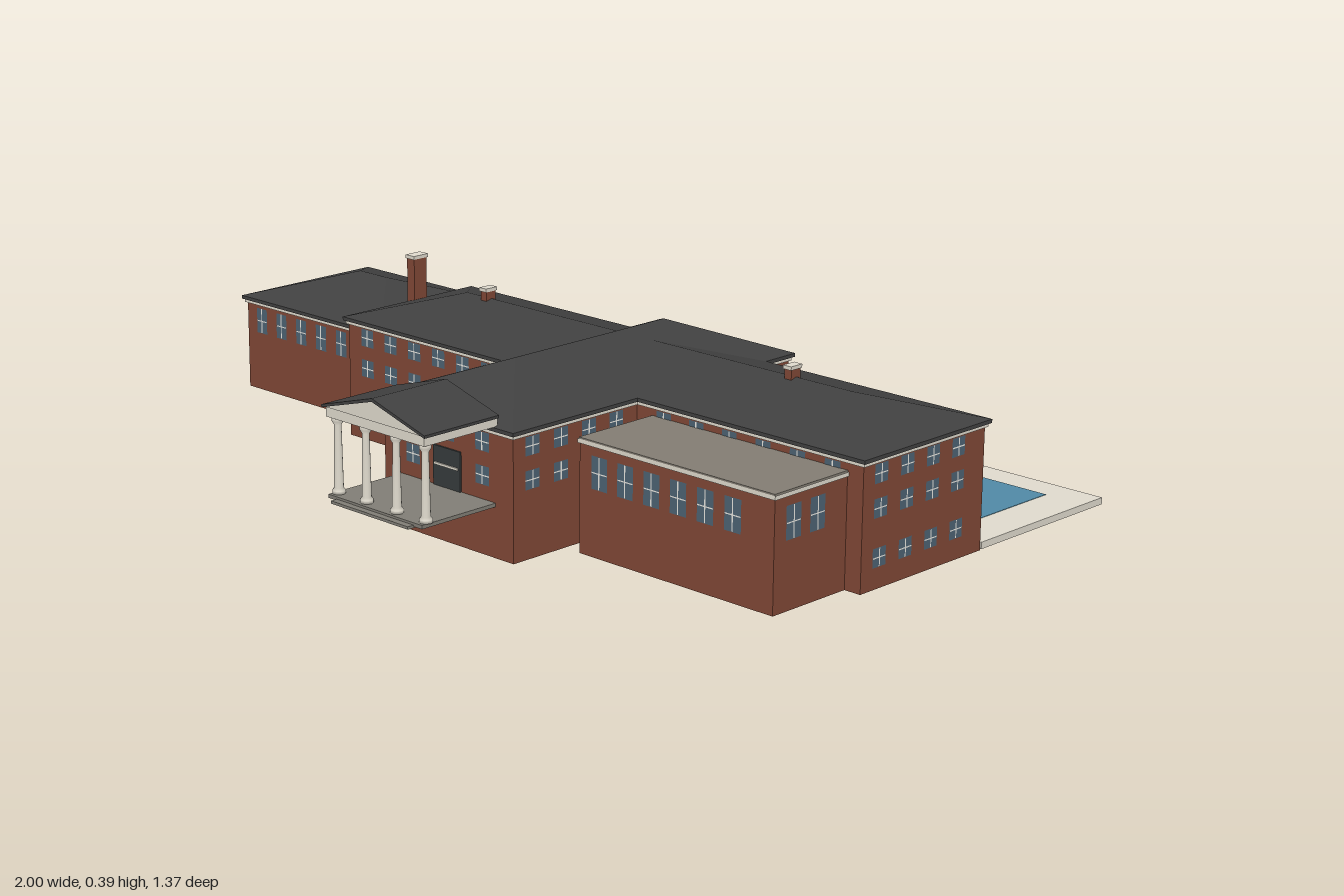
import * as THREE from 'three';
import { mergeGeometries } from 'three/addons/utils/BufferGeometryUtils.js';
import { ConvexGeometry } from 'three/addons/geometries/ConvexGeometry.js';

const mat = (name, color, side = THREE.FrontSide) => {
  const m = new THREE.MeshStandardMaterial({ color, side });
  m.name = name;
  return m;
};

export function createModel() {
  const brick = mat('brick', 0x7f4735, THREE.DoubleSide);
  const slate = mat('slate', 0x404040);
  const trim = mat('cream trim', 0xded9cc, THREE.DoubleSide);
  const glass = mat('window glass', 0x4c6272);
  const muntin = mat('white muntin', 0xe6e4de);
  const water = mat('pool water', 0x5089a5);
  const gravel = mat('flat roof gravel', 0x827c72);
  const paving = mat('porch paving', 0x807d75);
  const door = mat('dark door', 0x363b3c);

  const house = new THREE.Group();
  house.name = 'house';
  const add = (name, geo, material) => {
    const m = new THREE.Mesh(geo, material);
    m.name = name;
    house.add(m);
    return m;
  };
  // box given by its limits on each axis
  const boxGeo = (x0, x1, y0, y1, z0, z1) =>
    new THREE.BoxGeometry(x1 - x0, y1 - y0, z1 - z0)
      .translate((x0 + x1) / 2, (y0 + y1) / 2, (z0 + z1) / 2);
  const box = (name, material, ...b) => add(name, boxGeo(...b), material);
  // four walls, open at the top and bottom
  const shell = (name, material, ...b) => {
    const geo = boxGeo(...b);
    const index = Array.from(geo.index.array);
    geo.setIndex([...index.slice(0, 12), ...index.slice(24)]);
    geo.clearGroups();
    add(name, geo, material);
  };

  // hipped roof with a thin eave; the ridge follows the longer side
  const hip = (name, x0, x1, z0, z1, y, top) => {
    const pts = [];
    for (const x of [x0, x1]) for (const z of [z0, z1])
      pts.push(new THREE.Vector3(x, y, z), new THREE.Vector3(x, y + 0.008, z));
    const w = x1 - x0, d = z1 - z0, h = Math.min(w, d) / 2;
    const cx = (x0 + x1) / 2, cz = (z0 + z1) / 2;
    const rx = w / 2 - h, rz = d / 2 - h;
    pts.push(new THREE.Vector3(cx - rx, top, cz - rz), new THREE.Vector3(cx + rx, top, cz + rz));
    add(name, new ConvexGeometry(pts), slate);
  };

  // brick block with cornice and hipped roof
  const wing = (name, x0, x1, z0, z1, eave, top) => {
    shell(name + 'Walls', brick, x0, x1, 0, eave, z0, z1);
    shell(name + 'Cornice', trim, x0 - 0.005, x1 + 0.005, eave - 0.008, eave, z0 - 0.005, z1 + 0.005);
    hip(name + 'Roof', x0 - 0.01, x1 + 0.01, z0 - 0.01, z1 + 0.01, eave, top);
  };
  wing('westWing', -0.99, -0.515, -0.36, 0.021, 0.216, 0.285);
  wing('mainBlock', -0.515, 0.987, -0.263, 0.115, 0.27, 0.335);
  wing('crossBlock', 0.002, 0.384, -0.357, 0.47, 0.27, 0.355);

  // rows of windows on one wall; dir is the outward side of the wall
  const windows = (name, dir, wall, along, rows, w = 0.04, h = 0.04) => {
    const panes = [], bars = [];
    const turn = { front: 0, back: Math.PI, left: Math.PI / 2, right: -Math.PI / 2 }[dir];
    const side = dir === 'left' || dir === 'right';
    for (const a of along) for (const y of rows) {
      const plate = (pw, ph, out) => new THREE.PlaneGeometry(pw, ph).translate(0, 0, out)
        .rotateY(turn).translate(side ? wall : a, y, side ? a : wall);
      panes.push(plate(w, h, 0.0015));
      bars.push(plate(0.003, h, 0.0025), plate(w, 0.0025, 0.0025));
    }
    add(name + 'Panes', mergeGeometries(panes), glass);
    add(name + 'Muntins', mergeGeometries(bars), muntin);
  };
  const span = (a, b, n) => Array.from({ length: n }, (_, i) => a + (b - a) * i / (n - 1));
  const upper = [0.239, 0.168], all = [0.239, 0.168, 0.066];
  const westX = span(-0.937, -0.58, 6), mainWestX = span(-0.452, -0.062, 6);
  windows('westWingFront', 'front', 0.021, westX, [0.17], 0.036, 0.06);
  windows('westWingBack', 'back', -0.36, westX, [0.17], 0.036, 0.06);
  windows('westWingEnd', 'right', -0.99, span(-0.3, -0.04, 4), [0.17], 0.036, 0.06);
  windows('mainFrontWest', 'front', 0.115, mainWestX, upper);
  windows('mainBackWest', 'back', -0.263, mainWestX, upper);
  windows('mainFrontEast', 'front', 0.115, span(0.46, 0.91, 6), [0.239]);
  windows('mainBackEast', 'back', -0.263, span(0.46, 0.91, 6), all);
  windows('mainEastEnd', 'left', 0.987, span(0.062, -0.178, 4), all);
  const crossZ = span(0.178, 0.418, 4);
  windows('crossEast', 'left', 0.384, crossZ, upper);
  windows('crossWest', 'right', 0.002, crossZ, upper);
  windows('crossFrontUpper', 'front', 0.47, [0.09, 0.193, 0.296], [0.239]);
  windows('crossFrontLower', 'front', 0.47, [0.09, 0.296], [0.168]);
  windows('crossBack', 'back', -0.357, [0.085, 0.193, 0.3], upper);

  // flat-roofed front annex
  shell('annexWalls', brick, 0.428, 0.947, 0, 0.237, 0.115, 0.327);
  shell('annexCornice', trim, 0.425, 0.95, 0.234, 0.243, 0.115, 0.33);
  box('annexRoof', gravel, 0.427, 0.948, 0.24, 0.246, 0.115, 0.329);
  windows('annexFront', 'front', 0.327, span(0.484, 0.842, 6), [0.18], 0.043, 0.07);
  windows('annexEast', 'left', 0.947, [0.273, 0.203], [0.18], 0.043, 0.07);

  // rear terrace with balustrade
  shell('terraceWalls', brick, -0.042, 0.427, 0, 0.118, -0.518, -0.357);
  box('terraceFloor', trim, -0.045, 0.43, 0.118, 0.125, -0.522, -0.357);
  windows('terraceBack', 'back', -0.518, span(0.02, 0.365, 5), [0.066]);
  windows('terraceEast', 'left', 0.427, [-0.41], [0.066]);
  windows('terraceWest', 'right', -0.042, [-0.41], [0.066]);
  const rail = [
    boxGeo(-0.043, 0.428, 0.139, 0.143, -0.52, -0.514),
    boxGeo(-0.043, -0.037, 0.139, 0.143, -0.52, -0.36),
    boxGeo(0.422, 0.428, 0.139, 0.143, -0.52, -0.36),
  ];
  const baluster = (x, z) => rail.push(boxGeo(x - 0.002, x + 0.002, 0.125, 0.139, z - 0.002, z + 0.002));
  for (const x of span(-0.04, 0.425, 34)) baluster(x, -0.517);
  for (const z of span(-0.503, -0.364, 11)) { baluster(-0.04, z); baluster(0.425, z); }
  add('terraceBalustrade', mergeGeometries(rail), trim);
  for (const x of span(0.03, 0.355, 4))
    box('rearPilaster', trim, x - 0.008, x + 0.008, 0.125, 0.264, -0.361, -0.355);

  // pool
  box('poolDeck', trim, 0.475, 0.985, 0, 0.015, -0.685, -0.27);
  box('poolWater', water, 0.57, 0.89, 0.012, 0.016, -0.615, -0.36);

  // chimneys
  const chimney = (x, z, wx, wz, y0, y1) => {
    box('chimneyStack', brick, x - wx, x + wx, y0, y1 - 0.008, z - wz, z + wz);
    box('chimneyCap', trim, x - wx - 0.002, x + wx + 0.002, y1 - 0.008, y1, z - wz - 0.003, z + wz + 0.003);
  };
  chimney(-0.517, -0.095, 0.012, 0.019, 0.2, 0.387);
  chimney(-0.257, -0.073, 0.009, 0.014, 0.3, 0.36);
  chimney(0.64, -0.073, 0.009, 0.014, 0.3, 0.36);

  // portico: floor, step, columns, entablature, pediment and gable roof
  const px = 0.193;
  box('porticoFloor', paving, px - 0.14, px + 0.14, 0.109, 0.117, 0.47, 0.67);
  box('porticoStep', paving, px - 0.115, px + 0.115, 0.106, 0.112, 0.6, 0.685);
  const profile = [[0, 0], [0.014, 0], [0.014, 0.007], [0.01, 0.012], [0.0075, 0.145],
    [0.0125, 0.153], [0.0125, 0.163], [0, 0.163]].map(p => new THREE.Vector2(...p));
  for (const x of [-0.13, -0.045, 0.045, 0.13])
    add('porticoColumn', new THREE.LatheGeometry(profile, 12), trim).position.set(px + x, 0.117, 0.65);
  box('entablature', trim, px - 0.146, px + 0.146, 0.279, 0.301, 0.47, 0.667);
  const prism = (name, pts, z0, z1, material) => {
    const shape = new THREE.Shape(pts.map(p => new THREE.Vector2(px + p[0], p[1])));
    add(name, new THREE.ExtrudeGeometry(shape, { depth: z1 - z0, bevelEnabled: false }).translate(0, 0, z0), material);
  };
  prism('pediment', [[-0.146, 0.3], [0.146, 0.3], [0, 0.342]], 0.47, 0.67, trim);
  prism('porticoRoof', [[-0.153, 0.298], [0, 0.341], [0.153, 0.298], [0.153, 0.304], [0, 0.348], [-0.153, 0.304]],
    0.472, 0.673, slate);

  // entrance
  box('entranceDoor', door, px - 0.04, px + 0.04, 0.117, 0.202, 0.468, 0.474);
  box('entranceTransom', trim, px - 0.035, px + 0.035, 0.162, 0.167, 0.468, 0.477);

  return house;
}
